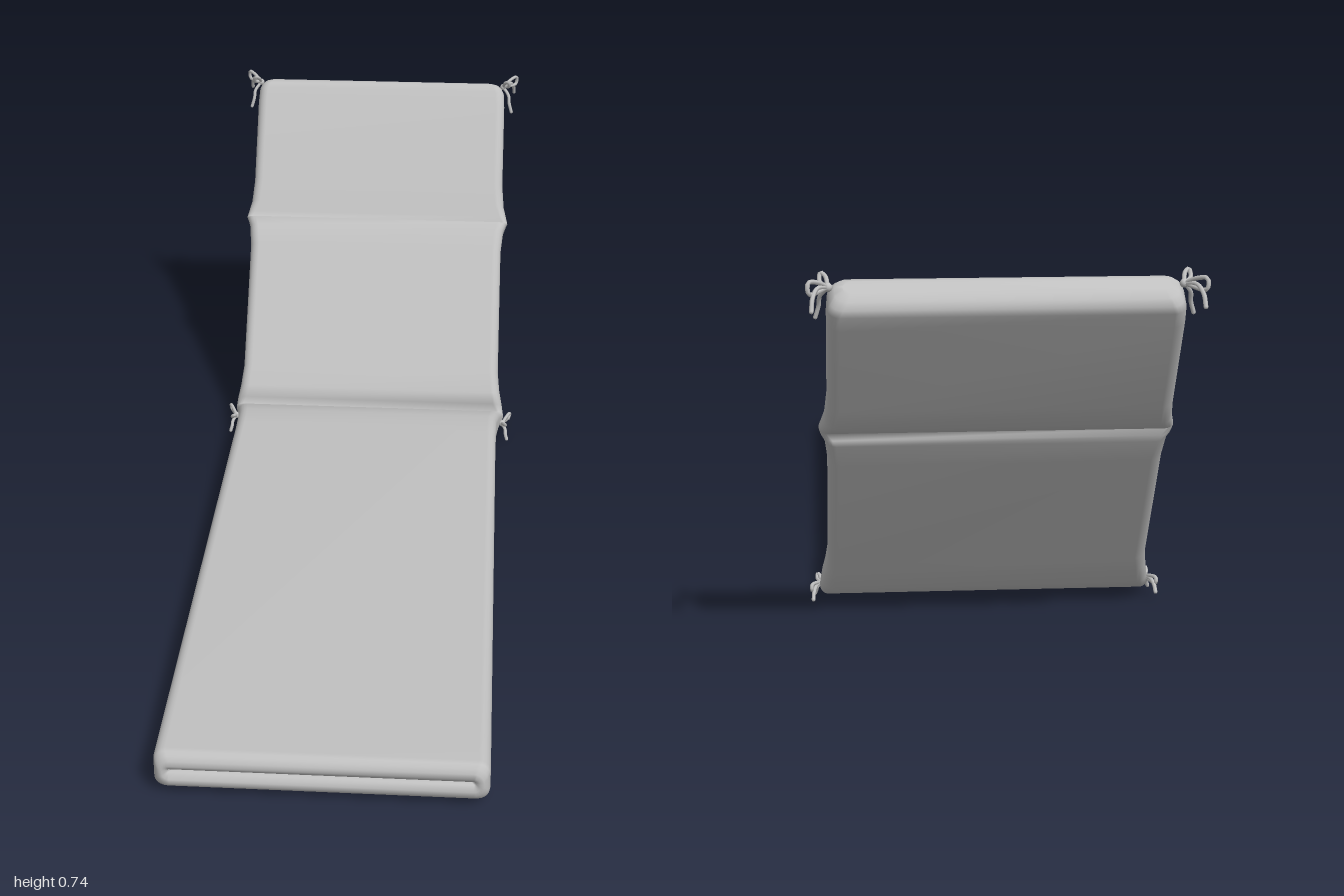
import * as THREE from 'three';

const fabric = new THREE.MeshStandardMaterial({ color: 0xc0c0c0 });
fabric.name = 'greyFabric';

// Rounded foot end with a tucked seam, listed from the seam outwards and back to the seat
function footEnd() {
  const stations = [[0.975, 0.054, 0.975, 0.051, 0.27], [0.992, 0.056, 0.992, 0.049, 0.283]];
  for (let k = 0; k <= 4; k++) {
    const a = (1 - k / 4) * Math.PI / 2;
    const z = 0.975 + 0.024 * Math.sin(a), inset = 1 - Math.cos(a);
    const half = 0.041 - 0.026 * inset;
    stations.push([z, 0.052 + half, z, 0.052 - half, 0.31 - 0.018 * inset]);
  }
  return stations;
}

// Seat and hinge: [zUpper, yUpper, zLower, yLower, halfWidth]
const SEAT = [
  [0.9, 0.093, 0.9, 0.011, 0.31],
  [-0.28, 0.093, -0.28, 0.011, 0.31],
  [-0.36, 0.089, -0.37, 0.011, 0.312],
  [-0.41, 0.077, -0.42, 0.012, 0.318],
  [-0.445, 0.058, -0.465, 0.022, 0.328],
  [-0.438, 0.082, -0.49, 0.04, 0.324],
];

// Both back panels with the fold between them
const BACK = [
  [-0.448, 0.108, -0.523, 0.078, 0.317],
  [-0.48, 0.15, -0.541, 0.106, 0.312],
  [-0.66, 0.395, -0.721, 0.351, 0.31],
  [-0.692, 0.434, -0.747, 0.393, 0.315],
  [-0.711, 0.447, -0.757, 0.407, 0.322],
  [-0.727, 0.44, -0.751, 0.42, 0.325],
  [-0.734, 0.452, -0.768, 0.423, 0.322],
  [-0.748, 0.476, -0.797, 0.438, 0.315],
  [-0.775, 0.522, -0.836, 0.478, 0.31],
  [-0.885, 0.69, -0.948, 0.645, 0.309],
  [-0.905, 0.717, -0.968, 0.672, 0.307],
  [-0.912, 0.726, -0.972, 0.685, 0.302],
  [-0.921, 0.731, -0.968, 0.699, 0.294],
  [-0.932, 0.729, -0.957, 0.712, 0.28],
];

// Rounded rectangle section, spanned between the lower and upper point of a station
function section([zu, yu, zl, yl, w]) {
  const t = Math.hypot(zu - zl, yu - yl), points = [];
  const rad = Math.min(0.022, t * 0.4), steps = 5;
  for (let corner = 0; corner < 4; corner++) {
    const sx = corner === 0 || corner === 3 ? 1 : -1;
    const sv = corner < 2 ? 1 : -1;
    for (let k = 0; k <= steps; k++) {
      const a = (corner + k / steps) * Math.PI / 2;
      const x = sx * (w - rad) + rad * Math.cos(a);
      const v = 0.5 + (sv * (t / 2 - rad) + rad * Math.sin(a)) / t;
      points.push([x, yl + (yu - yl) * v, zl + (zu - zl) * v]);
    }
  }
  return points;
}

// Smooth closed skin over all stations
function loft(stations) {
  const rings = stations.map(section), n = rings[0].length;
  const index = [];
  for (let i = 0; i < rings.length - 1; i++) {
    for (let j = 0; j < n; j++) {
      const a = i * n + j, b = i * n + (j + 1) % n;
      index.push(a, a + n, b, b, a + n, b + n);
    }
  }
  const last = (rings.length - 1) * n;
  for (let j = 1; j < n - 1; j++) {
    index.push(0, j, j + 1, last, last + j + 1, last + j);
  }
  const geometry = new THREE.BufferGeometry();
  geometry.setAttribute('position', new THREE.Float32BufferAttribute(rings.flat(2), 3));
  geometry.setIndex(index);
  geometry.computeVertexNormals();
  return geometry;
}

// Two loops and two tails of a tie, from the knot, with x pointing outwards
const STRANDS = [
  [[0, 0, 0], [0.004, 0.016, 0.018], [0.012, 0.021, 0.026], [0.014, 0.008, 0.018], [0, 0, 0]],
  [[0, 0, 0], [0.018, 0.012, -0.022], [0.033, 0.014, -0.04], [0.032, -0.004, -0.042], [0, 0, 0]],
  [[0, 0, 0], [0.014, -0.018, 0.014], [0.016, -0.035, 0.022], [0.022, -0.056, 0.026]],
  [[0, 0, 0], [0.018, 0.002, -0.025], [0.026, -0.012, -0.045], [0.028, -0.032, -0.056]],
];

function tie(name, side, position, spread) {
  const group = new THREE.Group();
  group.name = name;
  const add = (part, geometry, at) => {
    const mesh = new THREE.Mesh(geometry, fabric);
    mesh.name = part;
    if (at) mesh.position.copy(at);
    group.add(mesh);
  };
  for (const strand of STRANDS) {
    const path = new THREE.CatmullRomCurve3(strand.map(([x, y, z]) =>
      new THREE.Vector3(x * spread[0] * side, y * spread[1], z * spread[2])));
    add('tieRibbon', new THREE.TubeGeometry(path, 20, 0.004, 6));
    add('tieTip', new THREE.SphereGeometry(0.004, 6, 4), path.getPoint(1));
  }
  add('tieKnot', new THREE.SphereGeometry(0.008, 10, 8));
  group.position.set(position[0] * side, position[1], position[2]);
  return group;
}

export function createModel() {
  const model = new THREE.Group();
  model.name = 'loungerCushion';
  const cushion = new THREE.Mesh(loft([...footEnd(), ...SEAT, ...BACK]), fabric);
  cushion.name = 'cushion';
  model.add(cushion);
  for (const side of [1, -1]) {
    const label = side > 0 ? 'left' : 'right';
    model.add(tie(label + 'TopTie', side, [0.305, 0.72, -0.935], [1, 1, 1]));
    model.add(tie(label + 'HingeTie', side, [0.326, 0.034, -0.43], [0.55, 0.53, 1]));
  }
  return model;
}
